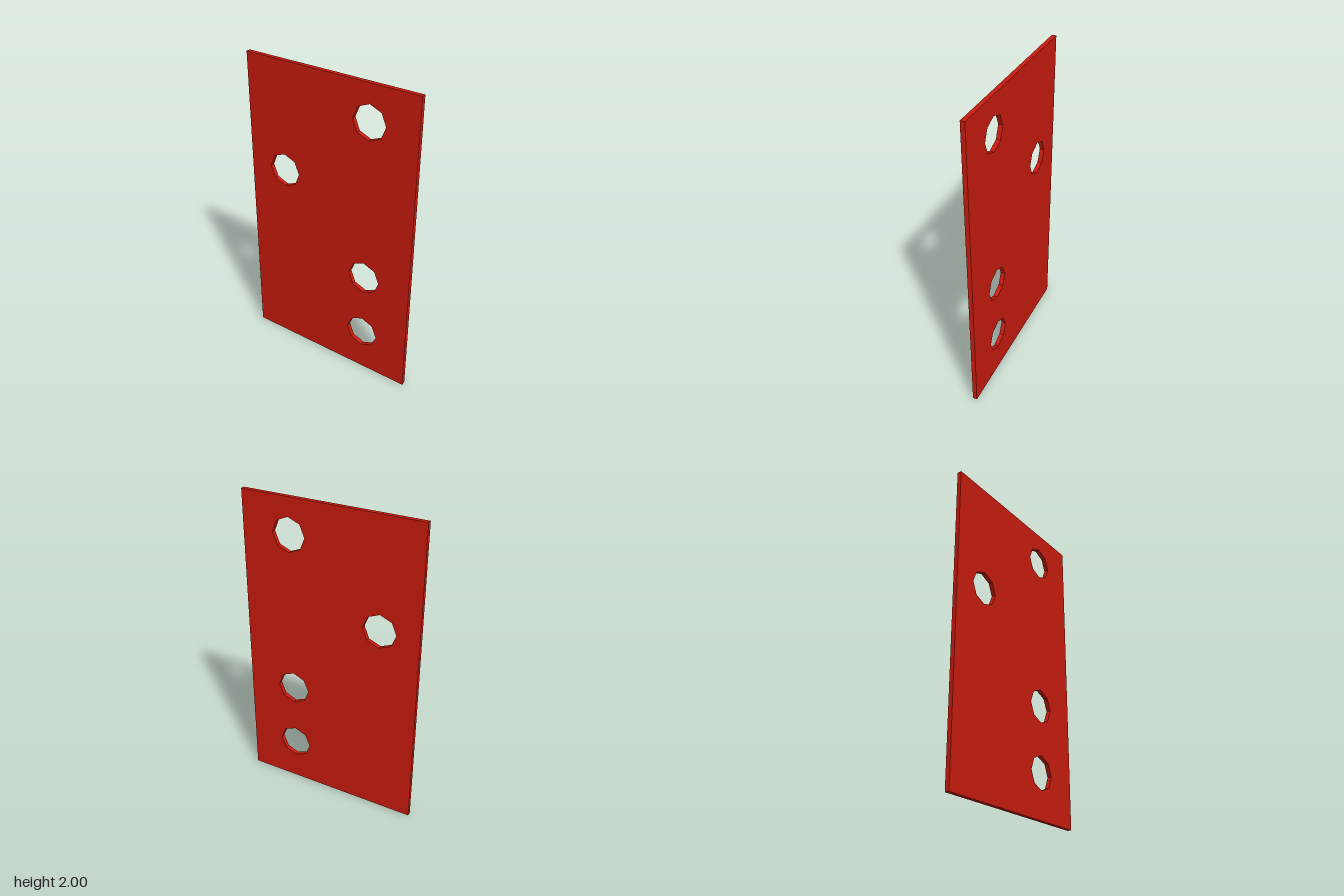
import * as THREE from 'three';

const HEIGHT = 2, DEPTH = 1.176, THICKNESS = 0.028, HOLE_RADIUS = 0.109;

// Hole centres as [z, y]
const HOLES = [[0.273, 1.77], [-0.331, 1.292], [0.266, 0.721], [0.263, 0.289]];

// Octagonal hole with corners on the vertical and horizontal axes
function octagon(x, y, r) {
  const points = [];
  for (let i = 0; i < 8; i++) {
    const a = -i * Math.PI / 4;
    points.push(new THREE.Vector2(x + r * Math.cos(a), y + r * Math.sin(a)));
  }
  return new THREE.Path(points);
}

export function createModel() {
  const group = new THREE.Group();
  group.name = 'perforatedPanel';

  // Panel outline, drawn with shape x = -z
  const w = DEPTH / 2;
  const outline = new THREE.Shape([
    new THREE.Vector2(-w, 0), new THREE.Vector2(w, 0),
    new THREE.Vector2(w, HEIGHT), new THREE.Vector2(-w, HEIGHT),
  ]);
  for (const [z, y] of HOLES) outline.holes.push(octagon(-z, y, HOLE_RADIUS));

  // Extrude the thin sheet and turn it to face sideways
  const geometry = new THREE.ExtrudeGeometry(outline, { depth: THICKNESS, bevelEnabled: false });
  geometry.translate(0, 0, -THICKNESS / 2);
  geometry.rotateY(Math.PI / 2);

  const panel = new THREE.Mesh(geometry, new THREE.MeshStandardMaterial({ color: 0xc81b0e, flatShading: true }));
  panel.name = 'panel';
  group.add(panel);
  return group;
}
